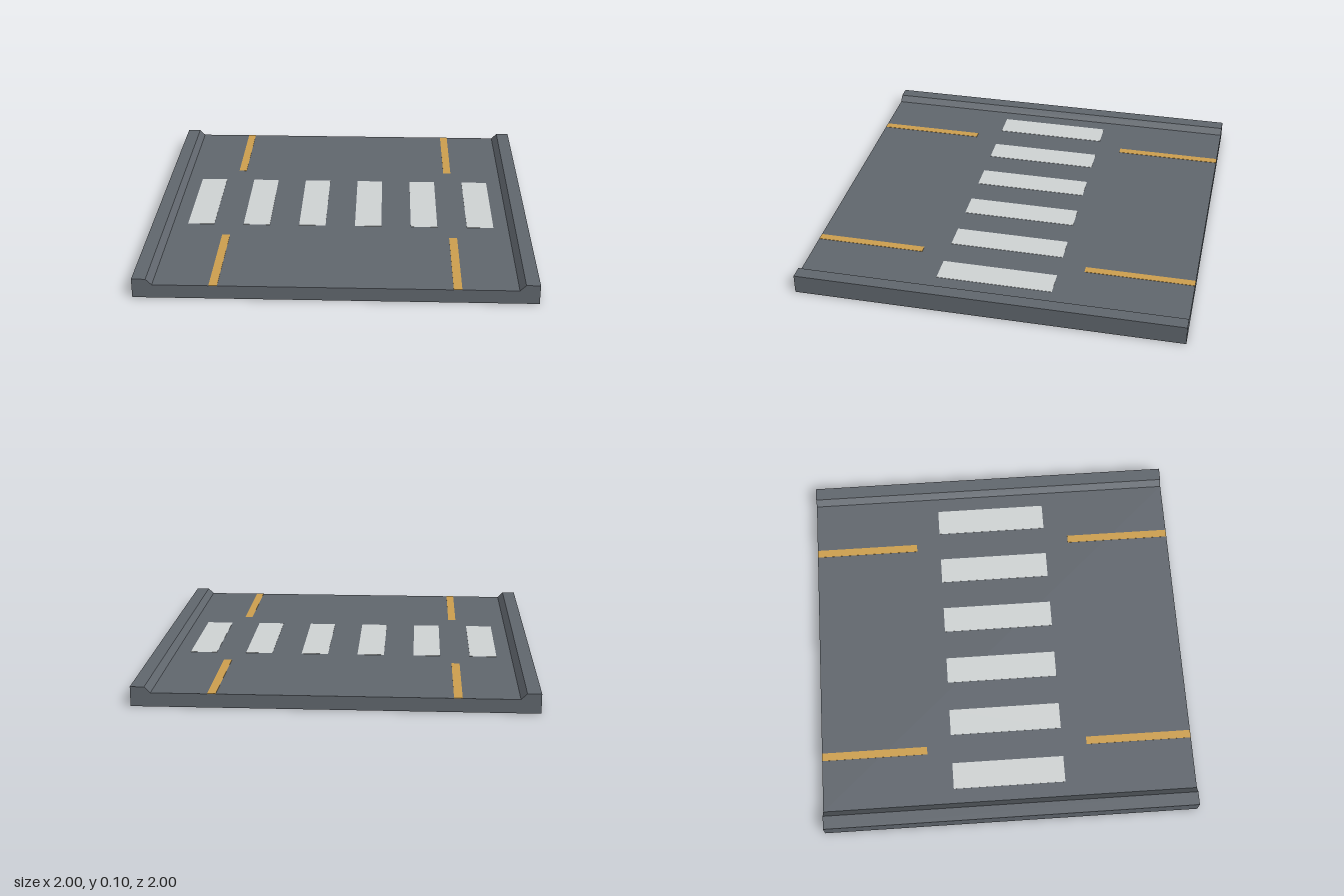
import * as THREE from 'three';

const asphalt = new THREE.MeshStandardMaterial({ name: 'asphalt grey', color: 0x62686f });
const white = new THREE.MeshStandardMaterial({ name: 'crossing white', color: 0xd2d6d6 });
const amber = new THREE.MeshStandardMaterial({ name: 'lane amber', color: 0xcfa14f });

const ROAD_Y = 0.07;
const CURB_Y = 0.1;

// Thin painted plate lying on the road surface
function paint(name, material, x, z, width, length) {
  const mesh = new THREE.Mesh(new THREE.BoxGeometry(width, 0.002, length), material);
  mesh.name = name;
  mesh.position.set(x, ROAD_Y + 0.0005, z);
  return mesh;
}

export function createModel() {
  const model = new THREE.Group();
  model.name = 'roadCrossing';

  // Road slab with raised, bevelled curbs: one cross-section run along z
  const section = new THREE.Shape([
    [-1, 0], [1, 0], [1, CURB_Y], [0.93, CURB_Y], [0.9, ROAD_Y],
    [-0.9, ROAD_Y], [-0.93, CURB_Y], [-1, CURB_Y],
  ].map(([x, y]) => new THREE.Vector2(x, y)));
  const slabGeometry = new THREE.ExtrudeGeometry(section, { depth: 2, bevelEnabled: false });
  slabGeometry.translate(0, 0, -1);
  const slab = new THREE.Mesh(slabGeometry, asphalt);
  slab.name = 'roadSlab';
  model.add(slab);

  // Crosswalk bars
  const crosswalk = new THREE.Group();
  crosswalk.name = 'crosswalk';
  for (let i = 0; i < 6; i++) {
    crosswalk.add(paint('crosswalkBar', white, -0.75 + i * 0.3, 0, 0.142, 0.6));
  }
  model.add(crosswalk);

  // Lane lines, stopping short of the crosswalk on both sides
  const laneLines = new THREE.Group();
  laneLines.name = 'laneLines';
  for (const x of [-0.6, 0.6]) {
    for (const side of [-1, 1]) {
      laneLines.add(paint('laneLine', amber, x, side * 0.716, 0.042, 0.568));
    }
  }
  model.add(laneLines);

  return model;
}
